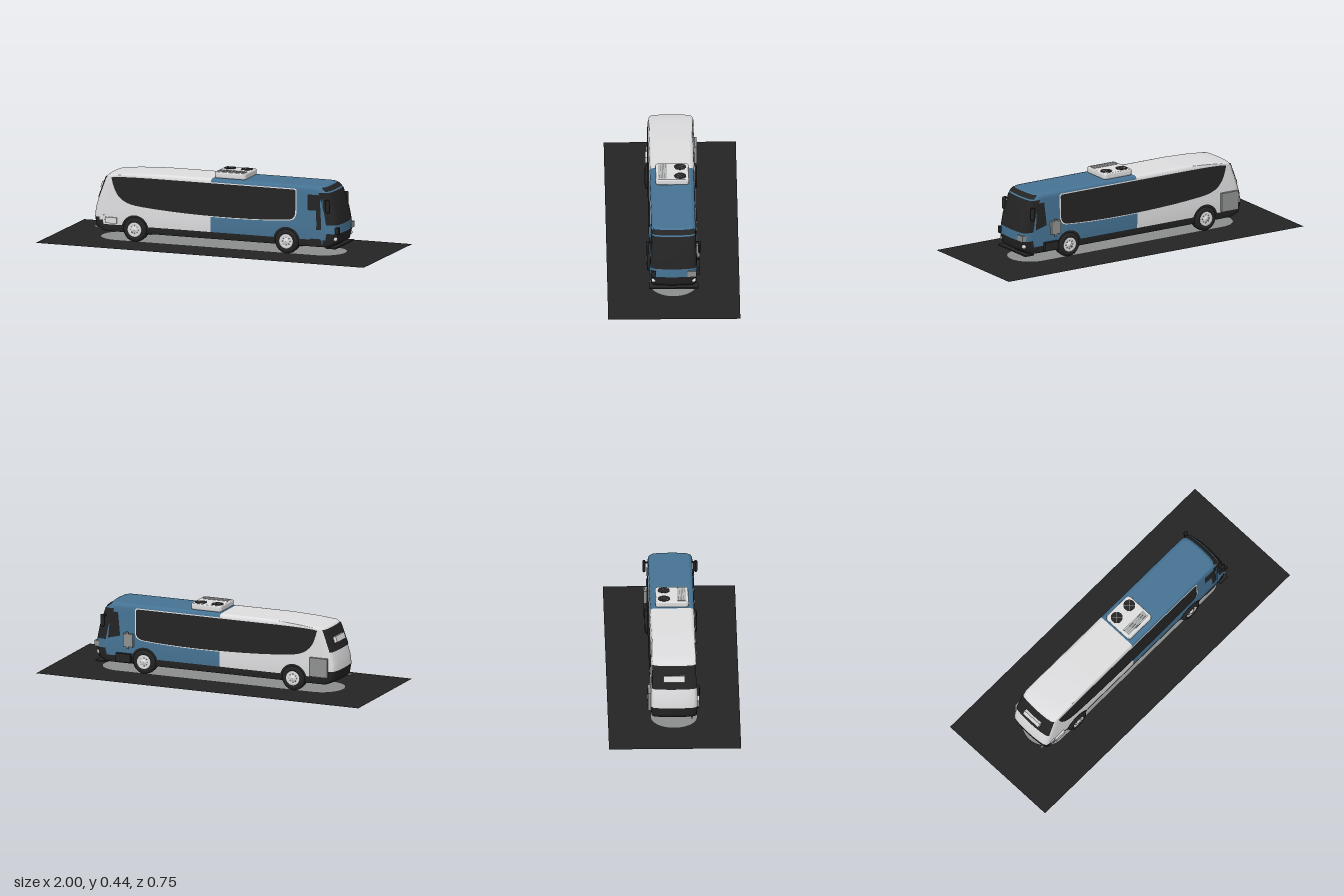
import * as THREE from 'three';

const mat = (name, color, side = THREE.FrontSide) => {
  const m = new THREE.MeshStandardMaterial({ color, side });
  m.name = name;
  return m;
};

// Body profile by height: [y, rear x, front x, half width]
const KEYS = [
  [0.05, -0.70, 0.70, 0.125], [0.07, -0.74, 0.735, 0.13], [0.13, -0.75, 0.748, 0.134],
  [0.18, -0.745, 0.745, 0.133], [0.25, -0.725, 0.732, 0.1307], [0.36, -0.685, 0.697, 0.127],
  [0.375, -0.67, 0.68, 0.126], [0.385, -0.57, 0.668, 0.123], [0.393, -0.42, 0.658, 0.117],
  [0.396, -0.35, 0.652, 0.105],
];
// Plan of either end: [fraction of half width, fraction of depth]
const HALF = [[1, 1], [0.99, 0.6], [0.95, 0.33], [0.85, 0.15], [0.6, 0.06], [0.3, 0.015], [0, 0]];
const END = [...HALF.map(([z, d]) => [-z, d]), ...HALF.slice(0, 6).reverse()];
const SPLIT = -0.03;

function profile(y) {
  let i = 0;
  while (i < KEYS.length - 2 && y > KEYS[i + 1][0]) i++;
  const t = (y - KEYS[i][0]) / (KEYS[i + 1][0] - KEYS[i][0]);
  return KEYS[i].map((v, k) => v + (KEYS[i + 1][k] - v) * t);
}

// Horizontal ring: front 0-12, left split 13, rear 14-26, right split 27, back to 28
function ring(y, out = 0, flat = 1) {
  let [, xr, xf, w] = profile(y);
  xr -= out; xf += out; w = (w + out) * flat;
  const p = END.map(([z, d]) => [xf - 0.07 * d, y, z * w]);
  p.push([SPLIT, y, w]);
  END.forEach(([z, d]) => p.push([xr + 0.06 * d, y, -z * w]));
  p.push([SPLIT, y, -w], p[0]);
  return p;
}

function loftRings(rings, s0, s1) {
  const pos = [], idx = [], n = s1 - s0 + 1;
  rings.forEach(r => r.slice(s0, s1 + 1).forEach(p => pos.push(...p)));
  for (let i = 0; i < rings.length - 1; i++)
    for (let j = 0; j < n - 1; j++) {
      const a = i * n + j, d = a + n;
      idx.push(a, d, a + 1, a + 1, d, d + 1);
    }
  const g = new THREE.BufferGeometry();
  g.setAttribute('position', new THREE.Float32BufferAttribute(pos, 3));
  g.setIndex(idx);
  g.computeVertexNormals();
  return g;
}

function skin(y0, y1, s0, s1, out = 0) {
  const ys = [y0, ...KEYS.map(k => k[0]).filter(y => y > y0 + 1e-4 && y < y1 - 1e-4), y1];
  return loftRings(ys.map(y => ring(y, out)), s0, s1);
}

// Thin plate laid on a body side (side = 1 left, -1 right)
function sidePlate(shape, side, off) {
  const g = new THREE.ShapeGeometry(shape, 10), p = g.attributes.position;
  for (let i = 0; i < p.count; i++) p.setZ(i, side * (profile(p.getY(i))[3] + off));
  if (side < 0) g.index.array.reverse();
  g.computeVertexNormals();
  return g;
}

const poly = pts => new THREE.Shape(pts.map(p => new THREE.Vector2(...p)));

function stadium(c, r) {
  const s = new THREE.Shape();
  s.absarc(c, 0, r, -Math.PI / 2, Math.PI / 2);
  s.absarc(-c, 0, r, Math.PI / 2, Math.PI * 1.5);
  s.closePath();
  return s;
}

function roundedSlab(w, d, h, r) {
  const s = new THREE.Shape(), a = w / 2 - 0.006, b = d / 2 - 0.006, q = Math.PI / 2;
  [[1, 1], [-1, 1], [-1, -1], [1, -1]].forEach(([x, y], i) =>
    s.absarc(x * (a - r), y * (b - r), r, i * q, (i + 1) * q));
  const g = new THREE.ExtrudeGeometry(s, {
    depth: h - 0.02, bevelSize: 0.006, bevelThickness: 0.01, bevelSegments: 4, curveSegments: 6 });
  return g.rotateX(-Math.PI / 2).translate(0, 0.01, 0);
}

export function createModel() {
  const root = new THREE.Group();
  root.name = 'cityBus';
  const black = mat('black', 0x242424);
  const white = mat('white', 0xdedee0);
  const blue = mat('blue', 0x467394);
  const grey = mat('grey', 0x909292);
  const ground = mat('groundBlack', 0x242424, THREE.DoubleSide);
  const patch = mat('groundGrey', 0x8c8e8e, THREE.DoubleSide);

  const add = (name, geo, m, x = 0, y = 0, z = 0) => {
    const mesh = new THREE.Mesh(geo, m);
    mesh.name = name;
    mesh.position.set(x, y, z);
    root.add(mesh);
    return mesh;
  };
  const box = (name, m, w, h, d, x, y, z) => add(name, new THREE.BoxGeometry(w, h, d), m, x, y, z);

  // Ground plate with a grey inset under the bus
  const plate = poly([[-1, -0.375], [1, -0.375], [1, 0.375], [-1, 0.375]]);
  plate.holes.push(stadium(0.61, 0.13));
  add('ground', new THREE.ShapeGeometry(plate, 24).rotateX(-Math.PI / 2), ground, 0, 0.002);
  add('groundInset', new THREE.ShapeGeometry(stadium(0.61, 0.13), 24).rotateX(-Math.PI / 2), patch, 0, 0.002);

  // Body shell in coloured bands
  add('skirt', skin(0.05, 0.09, 0, 28), black);
  add('underside', loftRings([ring(0.05, 0, 0), ring(0.05)], 0, 28), black);
  add('frontBumper', skin(0.09, 0.13, 0, 12), black);
  add('frontPanel', skin(0.13, 0.18, 0, 12), blue);
  add('windshield', skin(0.18, 0.363, 0, 12), black);
  add('frontBrow', skin(0.363, 0.396, 0, 12), blue);
  add('rearBumper', skin(0.09, 0.13, 14, 26), black);
  add('rearShell', skin(0.13, 0.396, 14, 26), white);
  [[12, 13, blue], [13, 14, white], [26, 27, white], [27, 28, blue]].forEach(([a, b, m]) =>
    add('sidePanel', skin(0.09, 0.396, a, b), m));
  const cap = [ring(0.396), ring(0.396, 0, 0)];
  add('frontRoof', loftRings(cap, 0, 13), blue);
  add('rearRoof', loftRings(cap, 13, 27), white);
  add('frontRoofRight', loftRings(cap, 27, 28), blue);

  // Front and rear details
  add('signWindow', skin(0.37, 0.391, 2, 10, 0.003), black);
  add('rearWindow', skin(0.24, 0.366, 2 + 14, 10 + 14, 0.003), black);
  box('rearLampBox', white, 0.025, 0.035, 0.12, -0.713, 0.30, 0).rotation.z = -0.33;
  box('frontGreyPanel', grey, 0.03, 0.035, 0.05, 0.732, 0.148, -0.103);
  box('frontBlackPanel', black, 0.03, 0.038, 0.024, 0.732, 0.148, 0.113);
  box('bumperLip', black, 0.06, 0.008, 0.28, 0.705, 0.05, 0);
  for (const s of [1, -1])
    add('headlight', new THREE.SphereGeometry(0.013, 16, 12), white, 0.725, 0.1, s * 0.114);

  // Side glass with a white outline
  const outline = new THREE.Shape();
  outline.moveTo(-0.635, 0.36);
  outline.bezierCurveTo(-0.61, 0.25, -0.57, 0.215, -0.45, 0.205);
  outline.bezierCurveTo(-0.2, 0.18, 0.2, 0.175, 0.44, 0.196);
  outline.bezierCurveTo(0.48, 0.2, 0.488, 0.22, 0.488, 0.25);
  outline.lineTo(0.488, 0.36);
  outline.quadraticCurveTo(0.488, 0.372, 0.47, 0.372);
  outline.lineTo(-0.4, 0.372);
  outline.quadraticCurveTo(-0.64, 0.37, -0.635, 0.36);
  const glassPts = outline.getPoints(10);
  const trim = poly(glassPts.map(p => [-0.073 + (p.x + 0.073) * 1.012, 0.276 + (p.y - 0.276) * 1.055]));
  const tyre = new THREE.LatheGeometry([[0.038, -0.032], [0.062, -0.032], [0.07, -0.024], [0.072, 0],
    [0.07, 0.02], [0.062, 0.031], [0.046, 0.034], [0.042, 0.026], [0.0, 0.026]]
    .map(p => new THREE.Vector2(...p)), 32);
  const hub = new THREE.LatheGeometry([[0.043, 0.024], [0.04, 0.032], [0.03, 0.028], [0.016, 0.028],
    [0.013, 0.035], [0, 0.036]].map(p => new THREE.Vector2(...p)), 24);

  for (const s of [1, -1]) {
    add('windowTrim', sidePlate(trim, s, 0.002), white);
    add('sideWindow', sidePlate(poly(glassPts.map(p => [p.x, p.y])), s, 0.004), black);

    // Wheels and arches
    for (const x of [-0.49, 0.435]) {
      const arch = new THREE.Shape();
      arch.absarc(x, 0.072, 0.082, 0, Math.PI);
      add('wheelArch', sidePlate(arch, s, 0.003), black);
      for (const [n, g, m] of [['tyre', tyre, black], ['hub', hub, white]])
        add(n, g, m, x, 0.072, s * 0.115).rotation.x = s * Math.PI / 2;
      for (let k = 0; k < 8; k++) {
        const a = k * Math.PI / 4;
        add('wheelHole', new THREE.CylinderGeometry(0.004, 0.004, 0.004, 8).rotateX(Math.PI / 2), grey,
          x + 0.023 * Math.cos(a), 0.072 + 0.023 * Math.sin(a), s * 0.143);
      }
    }

    // Mirrors on short arms
    add('mirror', roundedSlab(0.025, 0.018, 0.072, 0.005), black, 0.69, s > 0 ? 0.254 : 0.256, s * 0.147);
    box('mirrorArm', black, 0.012, 0.008, 0.04, 0.68, 0.32, s * 0.136);
  }

  // Passenger door on the left, driver window on the right
  add('door', sidePlate(poly([[0.56, 0.06], [0.64, 0.06], [0.645, 0.2], [0.635, 0.35], [0.56, 0.35]]), 1, 0.003), black);
  box('doorPost', blue, 0.006, 0.27, 0.006, 0.651, 0.2, 0.133);
  add('driverWindow', sidePlate(poly([[0.585, 0.21], [0.66, 0.19], [0.645, 0.345], [0.6, 0.345]]), -1, 0.003), black);

  // Side equipment
  box('sideBox', grey, 0.06, 0.075, 0.02, 0.53, 0.19, -0.142);
  box('sideBoxPost', grey, 0.012, 0.1, 0.008, 0.535, 0.19, -0.15);
  box('sideStep', black, 0.09, 0.05, 0.02, 0.56, 0.085, -0.142);
  box('rearSidePanel', grey, 0.11, 0.11, 0.018, -0.65, 0.15, -0.14);
  box('rearSideLamps', white, 0.07, 0.034, 0.014, -0.635, 0.116, 0.138);
  box('rearSideLampEnd', white, 0.03, 0.028, 0.014, -0.69, 0.13, 0.132);
  const pipe = add('tailpipe', new THREE.CylinderGeometry(0.006, 0.006, 0.05, 10), grey, -0.725, 0.062, 0.1);
  pipe.rotation.z = Math.PI / 2 - 0.3;

  // Roof air conditioner
  add('roofUnit', roundedSlab(0.19, 0.19, 0.035, 0.012), white, 0.072, 0.397, 0);
  box('roofGrille', grey, 0.16, 0.004, 0.045, 0.072, 0.432, 0.055);
  for (let i = 0; i < 6; i++)
    box('grilleSlat', white, 0.156, 0.002, 0.002, 0.072, 0.4345, 0.037 + i * 0.0072);
  for (const x of [0.02, 0.122]) {
    add('roofFan', new THREE.CylinderGeometry(0.034, 0.034, 0.004, 28), black, x, 0.432, -0.045);
    for (let k = 0; k < 2; k++) {
      const bar = box('fanBar', grey, 0.064, 0.001, 0.002, x, 0.4345, -0.045);
      bar.rotation.y = Math.PI / 4 + k * Math.PI / 2;
    }
  }
  return root;
}
